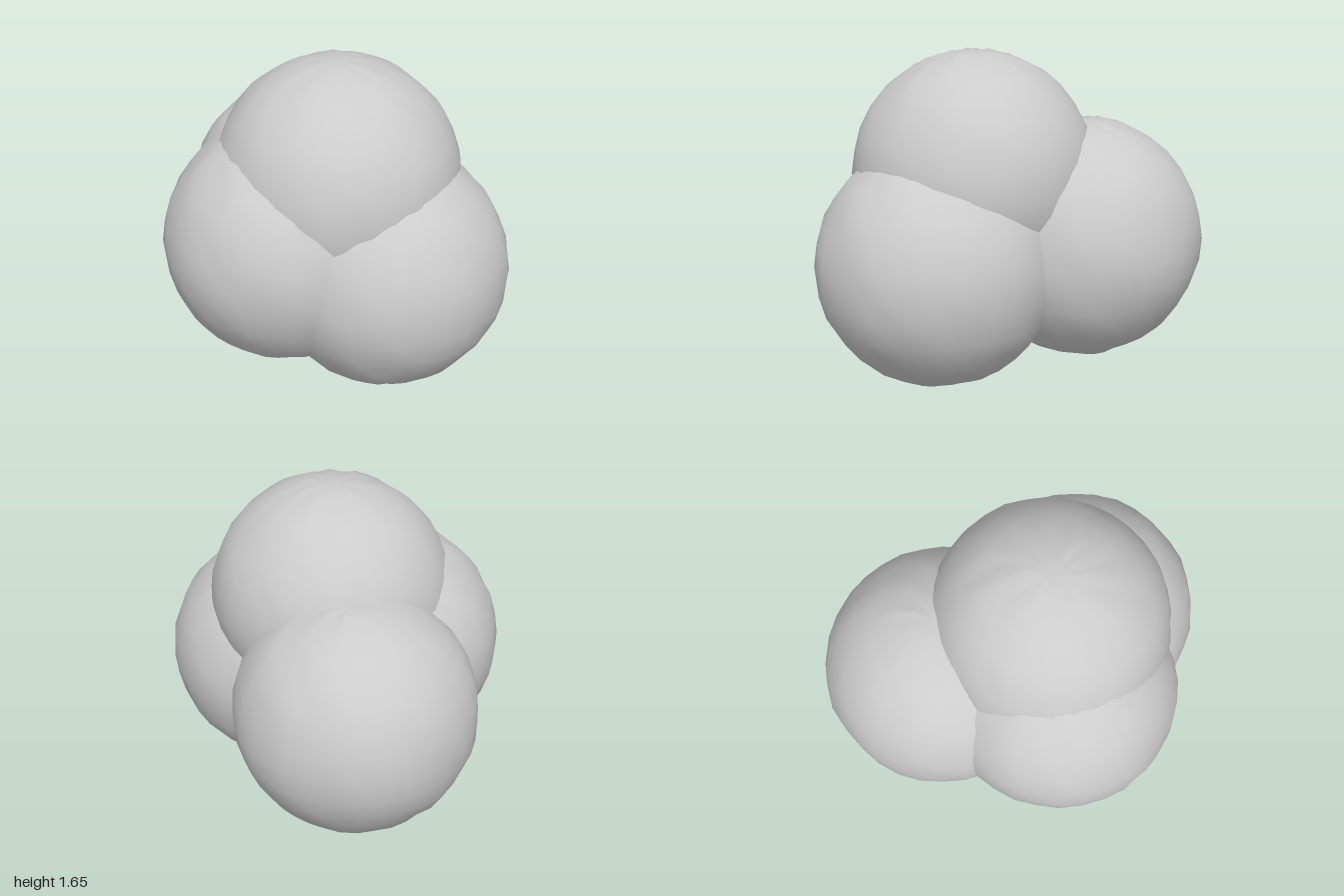
import * as THREE from 'three';
import { mergeVertices } from 'three/addons/utils/BufferGeometryUtils.js';

const RADIUS = 0.62;
const SEGMENTS = 32;
const RINGS = 16;

// Small seeded generator, so every ball gets its own repeatable unevenness
function seeded(seed) {
  let s = seed;
  return () => {
    s = (s * 16807) % 2147483647;
    return s / 2147483647;
  };
}

// A sphere with slightly uneven vertices, which read as pleats at the poles
function lumpyBall(seed) {
  let geometry = new THREE.SphereGeometry(RADIUS, SEGMENTS, RINGS);
  geometry.deleteAttribute('uv');
  geometry.deleteAttribute('normal');
  geometry = mergeVertices(geometry, 1e-4); // closes the seam and the poles
  const random = seeded(seed);
  for (let i = 0; i < 10; i++) random();
  const pos = geometry.attributes.position;
  const v = new THREE.Vector3();
  for (let i = 0; i < pos.count; i++) {
    v.fromBufferAttribute(pos, i);
    const isPole = Math.abs(v.y) > RADIUS * 0.999;
    v.multiplyScalar(isPole ? 0.99 : 0.99 + 0.02 * random());
    pos.setXYZ(i, v.x, v.y, v.z);
  }
  geometry.computeVertexNormals();
  return geometry;
}

export function createModel() {
  const group = new THREE.Group();
  group.name = 'ballCluster';
  const material = new THREE.MeshStandardMaterial({ color: 0xcccccc });

  // Three balls below and one resting on them
  const balls = [
    ['frontBall', 0.23, 0.615, 0.38],
    ['backBall', 0.03, 0.68, -0.38],
    ['sideBall', -0.235, 0.73, 0.18],
    ['topBall', 0.03, 1.04, 0.18],
  ];
  balls.forEach(([name, x, y, z], i) => {
    const ball = new THREE.Mesh(lumpyBall(1013 + i * 7919), material);
    ball.name = name;
    ball.position.set(x, y, z);
    group.add(ball);
  });
  return group;
}
